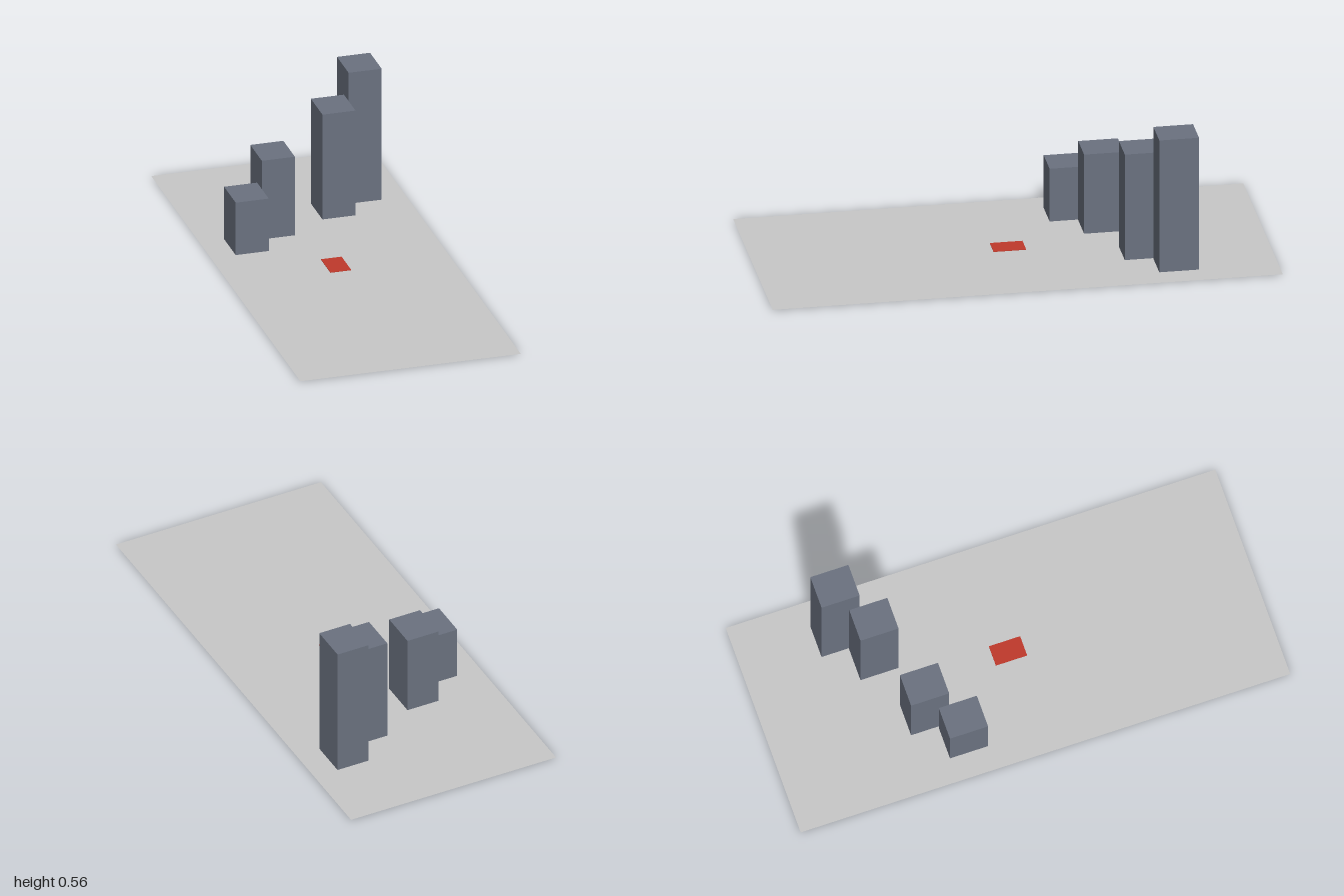
import * as THREE from 'three';

const U = 1 / 9; // grid unit: the ground is 8 x 18 units

export function createModel() {
  const group = new THREE.Group();
  const material = (name, color, extra = {}) =>
    Object.assign(new THREE.MeshStandardMaterial({ color, ...extra }), { name });
  const groundGrey = material('groundGrey', 0xc8c8c8, { side: THREE.DoubleSide });
  const slateGrey = material('slateGrey', 0x6b7280);
  const markerRed = material('markerRed', 0xc0392b);

  const add = (name, geometry, mat, x, y, z) => {
    const mesh = new THREE.Mesh(geometry, mat);
    mesh.name = name;
    mesh.position.set(x * U, y * U, z * U);
    group.add(mesh);
  };
  const box = (w, h, d) => new THREE.BoxGeometry(w * U, h * U, d * U);
  const groundY = 0.02;

  // Flat ground sheet, visible from both sides
  add('ground', new THREE.PlaneGeometry(8 * U, 18 * U).rotateX(-Math.PI / 2), groundGrey, 0, groundY, 0);

  // Thin marker set through the ground at the centre
  add('marker', box(0.75, 0.04, 1.15), markerRed, 0, groundY, 0);

  // Four blocks, each one unit taller and one unit further back
  [-2.5, -1.25, 1.25, 2.5].forEach((x, i) => {
    const height = i + 2;
    add(`block${i + 1}`, box(1.2, height, 1.4), slateGrey, x, groundY + height / 2, -2.5 - i);
  });

  return group;
}
